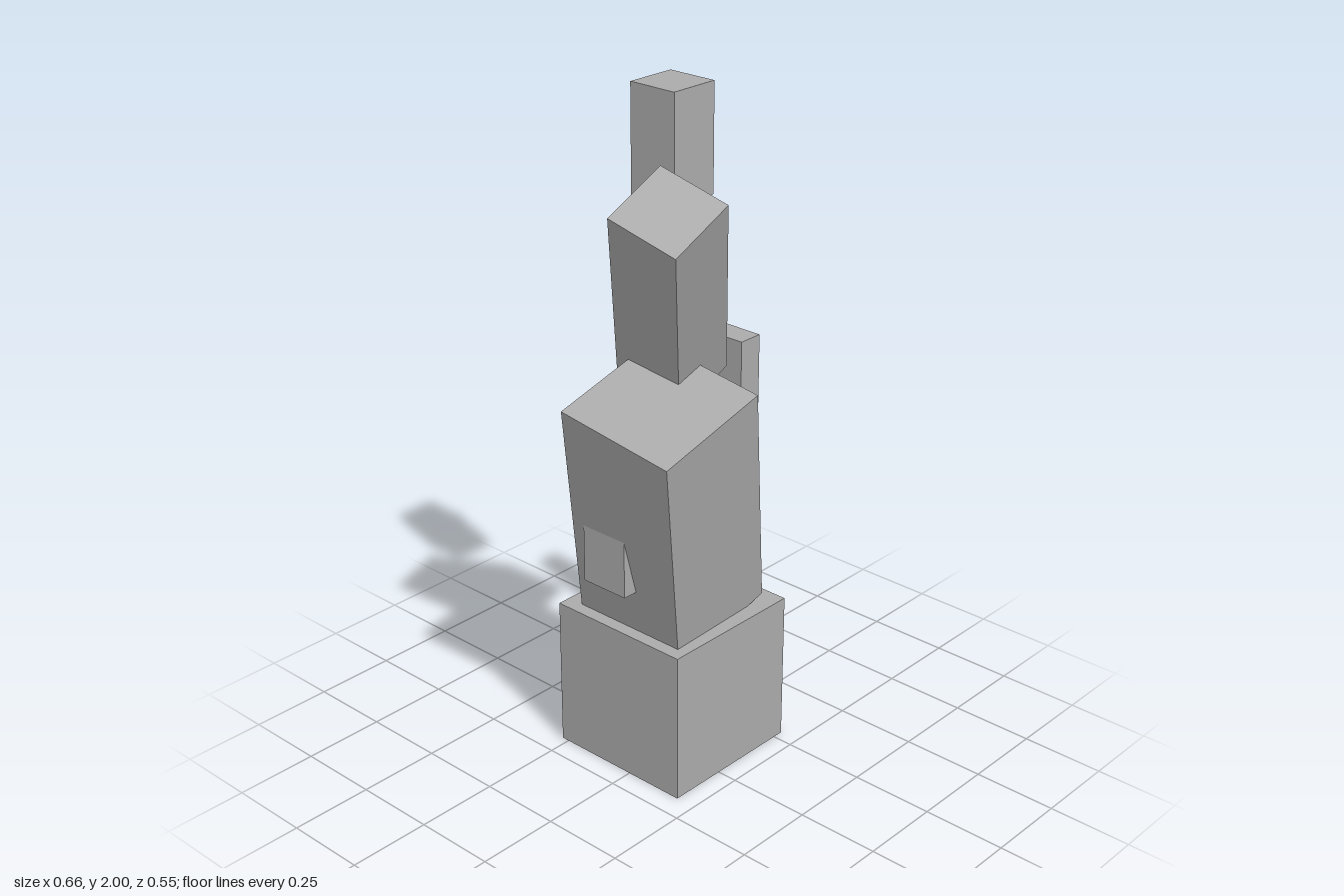
import * as THREE from 'three';

const U = 2 / 26;            // block unit
const CX = 0.0515, CZ = -0.043; // shared vertical axis of the blocks

export function createModel() {
  const group = new THREE.Group();
  group.name = 'stackedBlockFigure';
  const grey = new THREE.MeshStandardMaterial({ color: 0xaaaaaa });
  grey.name = 'stone grey';

  // A block standing on its bottom centre, tilted forward then sideways
  function block(name, [w, h, d], [x, y, z], forward = 0, side = 0) {
    const geometry = new THREE.BoxGeometry(w * U, h * U, d * U);
    geometry.translate(0, (h * U) / 2, 0);
    const mesh = new THREE.Mesh(geometry, grey);
    mesh.name = name;
    mesh.position.set(x, y, z);
    mesh.rotation.set(
      THREE.MathUtils.degToRad(forward), 0, THREE.MathUtils.degToRad(side), 'ZYX');
    group.add(mesh);
  }

  block('base', [6, 6, 6], [CX, 0, CZ]);
  block('lowerBody', [4.8, 10, 4.8], [CX, 6 * U, CZ], 10, 15);
  block('upperBody', [2.8, 9, 2.8], [0.083, 1.165, -0.072], 20, 25);
  block('topBlock', [2, 4, 2], [CX, 22 * U, CZ]);

  // Side slabs, the right one set lower and mostly sunk into the body
  block('leftSlab', [1, 6, 2], [CX + 0.24, 10 * U, CZ]);
  block('rightSlab', [1, 6, 2], [CX - 0.24, 8 * U, CZ]);

  return group;
}
